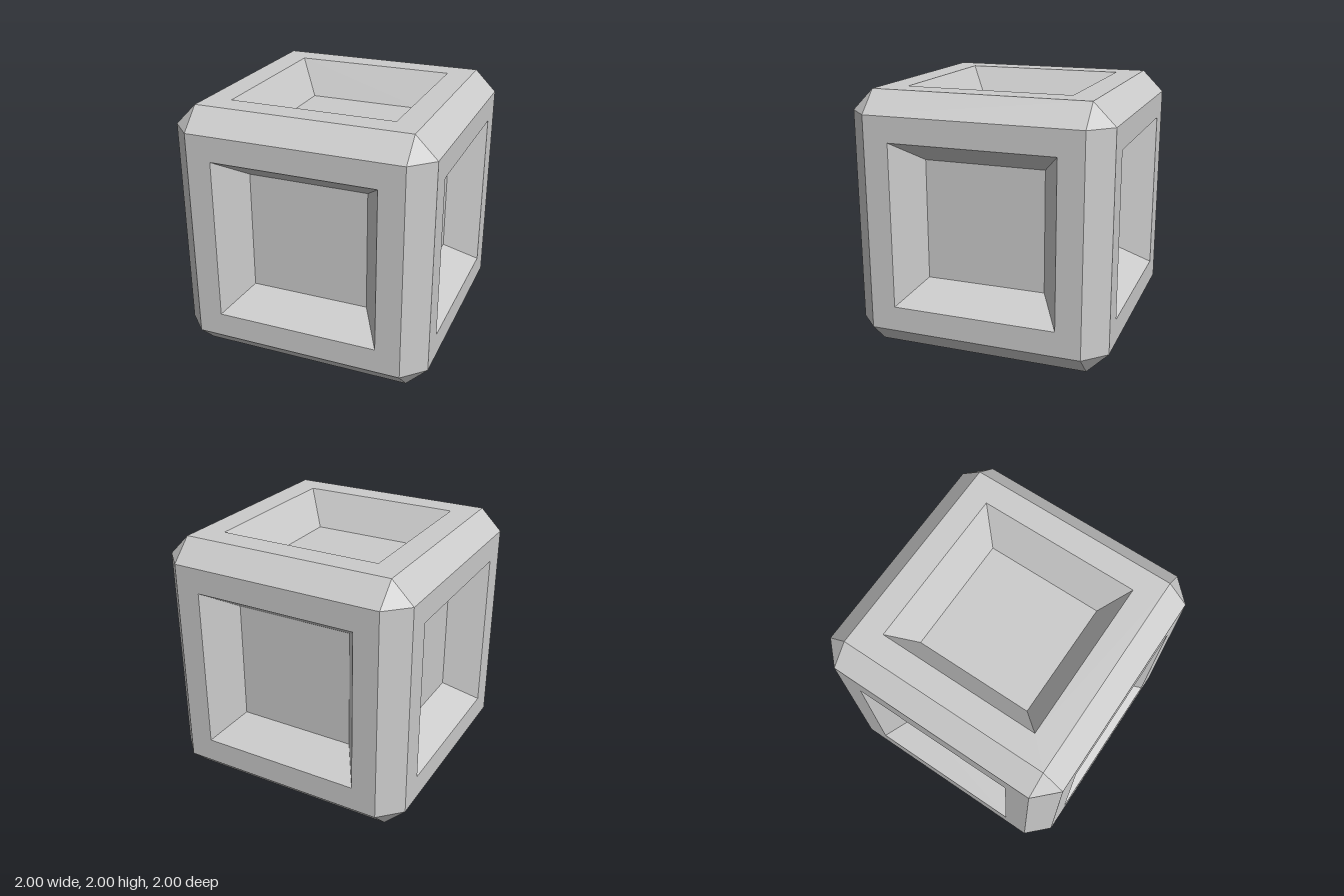
import * as THREE from 'three';

const HALF = 1;          // half size of the cube
const FLAT = 0.833;      // half width of each flat face inside the bevels
const RIM = 0.639;       // half width of the recess at its mouth
const FLOOR = 0.47;      // half width of the recess floor
const DEPTH = 0.27;      // depth of the recess

export function createModel() {
  const model = new THREE.Group();
  model.name = 'recessedCube';
  const body = new THREE.Group();
  body.name = 'body';
  body.position.y = HALF;
  model.add(body);

  const material = new THREE.MeshStandardMaterial({ color: 0xcccccc, flatShading: true });
  const add = (name, geometry) => {
    const mesh = new THREE.Mesh(geometry, material);
    mesh.name = name;
    body.add(mesh);
    return mesh;
  };

  // Face panel: square frame, sloped recess walls and floor as a four-sided lathe
  const profile = [
    [FLAT, HALF], [RIM, HALF], [FLOOR, HALF - DEPTH], [0, HALF - DEPTH],
  ].map(([r, y]) => new THREE.Vector2(r * Math.SQRT2, y));
  const panel = new THREE.LatheGeometry(profile, 4, Math.PI / 4).toNonIndexed();
  panel.computeVertexNormals();

  const q = Math.PI / 2;
  const faces = {
    topPanel: [0, 0], bottomPanel: [2 * q, 0], frontPanel: [q, 0],
    backPanel: [-q, 0], rightPanel: [0, q], leftPanel: [0, -q],
  };
  for (const [name, [rx, rz]] of Object.entries(faces)) {
    add(name, panel).rotation.set(rx, 0, rz);
  }

  // Bevelled edges: four around each axis
  const mid = (HALF + FLAT) / 2;
  for (const axis of ['x', 'y', 'z']) {
    for (let k = 0; k < 4; k++) {
      const strip = new THREE.PlaneGeometry(2 * FLAT, (HALF - FLAT) * Math.SQRT2);
      strip.rotateX(-Math.PI / 4).translate(0, mid, mid).rotateX(k * q);
      if (axis === 'y') strip.rotateZ(q);
      if (axis === 'z') strip.rotateY(q);
      add(axis + 'EdgeBevel', strip);
    }
  }

  // Triangular corner facets
  for (const x of [-1, 1]) for (const y of [-1, 1]) for (const z of [-1, 1]) {
    const points = [[HALF, FLAT, FLAT], [FLAT, HALF, FLAT], [FLAT, FLAT, HALF]]
      .map(([a, b, c]) => new THREE.Vector3(a * x, b * y, c * z));
    if (x * y * z < 0) points.reverse();
    const facet = new THREE.BufferGeometry().setFromPoints(points);
    facet.computeVertexNormals();
    add('cornerFacet', facet);
  }

  return model;
}
